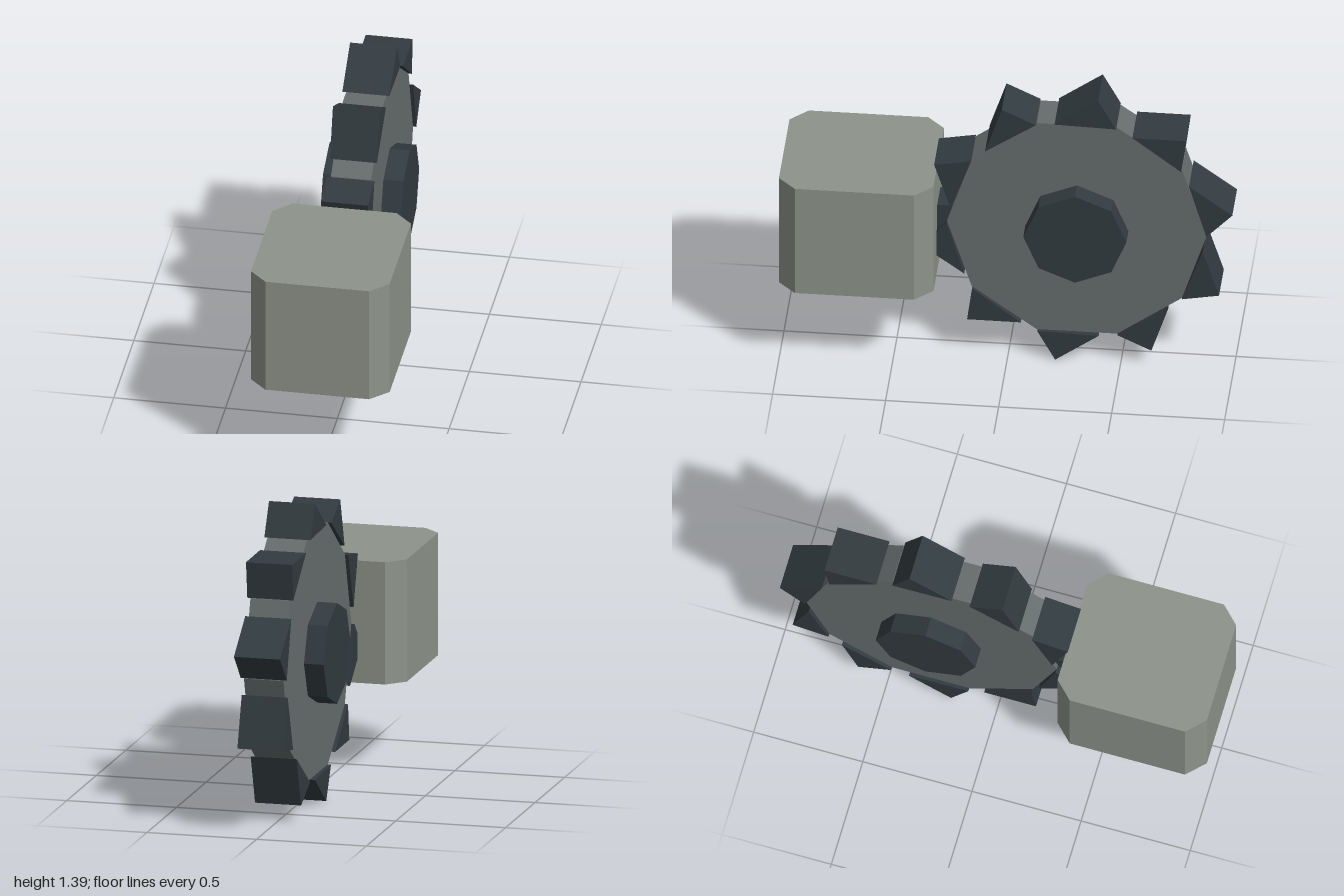
import * as THREE from 'three';

const paint = (color) => new THREE.MeshStandardMaterial({ color, flatShading: true });
const stone = paint(0x8d938a), steel = paint(0x666d6d), dark = paint(0x323b40);

// Point at a polar position in the plane of the wheel (first axis z, second y)
const polar = (r, deg) => {
  const a = THREE.MathUtils.degToRad(deg);
  return new THREE.Vector2(r * Math.cos(a), r * Math.sin(a));
};

const ring = (r, n) => Array.from({ length: n }, (_, i) => polar(r, (i * 360) / n));

// Prism of a given outline, centred on its own thickness
function prism(name, points, depth, material) {
  const geo = new THREE.ExtrudeGeometry(new THREE.Shape(points), { depth, bevelEnabled: false });
  geo.translate(0, 0, -depth / 2);
  const mesh = new THREE.Mesh(geo, material);
  mesh.name = name;
  return mesh;
}

export function createModel() {
  const model = new THREE.Group();
  model.name = 'sawArm';

  // Saw wheel: lies in the yz plane
  const wheel = new THREE.Group();
  wheel.name = 'sawWheel';
  wheel.rotation.y = -Math.PI / 2;
  wheel.position.set(0, 0.7, -0.305);
  wheel.add(prism('disc', ring(0.575, 10), 0.18, steel));
  wheel.add(prism('hub', ring(0.228, 8), 0.36, dark));

  // Ten raked teeth
  for (let i = 0; i < 10; i++) {
    const a = 25.8 + i * 36;
    const outline = [polar(0.563, a - 17.8), polar(0.7, a), polar(0.574, a + 9.9)];
    wheel.add(prism('tooth', outline, 0.21, dark));
  }
  model.add(wheel);

  // Short shaft between mount and wheel
  const shaft = new THREE.Mesh(new THREE.BoxGeometry(0.14, 0.14, 0.3), dark);
  shaft.name = 'shaft';
  shaft.position.set(0, 0.7, 0.25);
  model.add(shaft);

  // Mount block with chamfered upright edges
  const w = 0.31, d = 0.342, c = 0.078;
  const outline = [
    [w - c, -d], [w, c - d], [w, d - c], [w - c, d],
    [c - w, d], [-w, d - c], [-w, c - d], [c - w, -d],
  ].map(([x, y]) => new THREE.Vector2(x, y));
  const mount = prism('mountBlock', outline, 0.553, stone);
  mount.rotation.x = -Math.PI / 2;
  mount.position.set(0, 0.698, 0.657);
  model.add(mount);

  return model;
}
